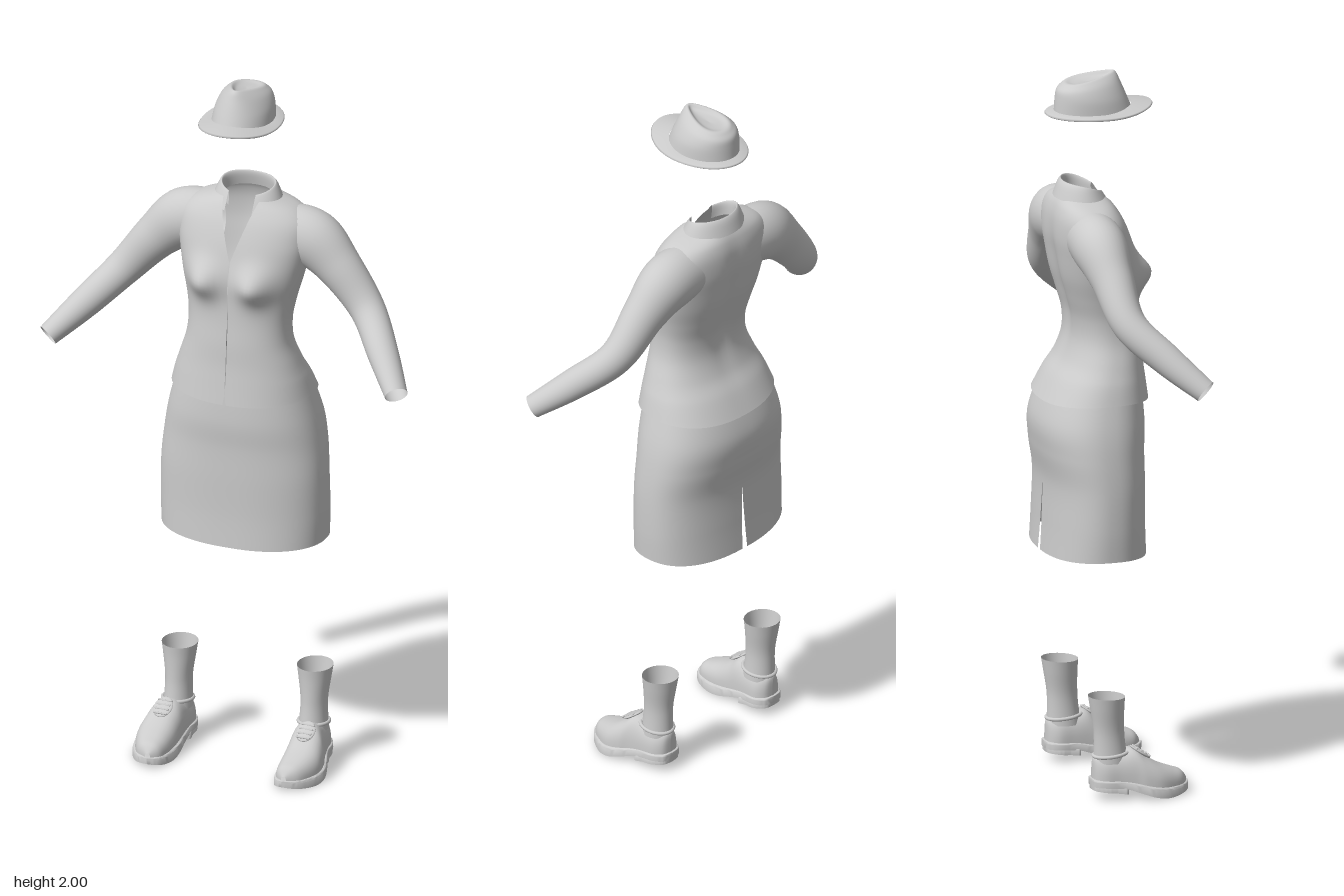
import * as THREE from 'three';
import { mergeVertices, toCreasedNormals } from 'three/addons/utils/BufferGeometryUtils.js';

const grey = new THREE.MeshStandardMaterial({ color: 0xcccccc, side: THREE.DoubleSide });
const spow = (v, p) => Math.sign(v) * Math.abs(v) ** p;
const bell = (d, w) => Math.exp(-((d / w) ** 2));

// Smoothly interpolates a table of key rows into n + 1 rows.
function spline(table, n) {
  const last = table.length - 1;
  return Array.from({ length: n + 1 }, (_, k) => {
    const f = (k / n) * last, i = Math.min(Math.floor(f), last - 1), t = f - i;
    const at = (m) => table[Math.max(0, Math.min(last, m))];
    return table[i].map((_, c) => {
      const a = at(i - 1)[c], b = at(i)[c], d = at(i + 1)[c], e = at(i + 2)[c];
      return b + 0.5 * t * (d - a + t * (2 * a - 5 * b + 4 * d - e + t * (3 * (b - d) + e - a)));
    });
  });
}

// Skins a list of equally long point rows.
function skin(rows) {
  const w = rows[0].length, pos = [], index = [];
  rows.forEach((r) => r.forEach((p) => pos.push(...p)));
  for (let i = 0; i < rows.length - 1; i++) {
    for (let j = 0; j < w - 1; j++) {
      const a = i * w + j, c = a + w;
      index.push(a, a + 1, c, a + 1, c + 1, c);
    }
  }
  let geo = new THREE.BufferGeometry();
  geo.setAttribute('position', new THREE.Float32BufferAttribute(pos, 3));
  geo.setIndex(index);
  geo = mergeVertices(geo, 1e-5);
  geo.computeVertexNormals();
  return geo;
}

function add(parent, name, geo) {
  const mesh = new THREE.Mesh(geo, grey);
  mesh.name = name;
  parent.add(mesh);
  return mesh;
}

// Level ring from key row [y, halfWidth, zFront, zBack], with an optional gap.
function ring([y, hw, zf, zb], { e = 2, gap = 0, start = 0, n = 64, warp = (p) => p } = {}) {
  const t0 = Math.asin(Math.min(0.9, gap / Math.max(hw, 1e-4)) ** (e / 2));
  return Array.from({ length: n + 1 }, (_, j) => {
    const t = start + t0 + (j / n) * (2 * Math.PI - 2 * t0);
    const x = hw * spow(Math.sin(t), 2 / e);
    const z = (zf + zb) / 2 + ((zf - zb) / 2) * spow(Math.cos(t), 2 / e);
    return warp([x, y, z], t);
  });
}

// Flat-bottomed upright sections along z, from rows [z, centreX, halfWidth, bottom, top].
function sections(table, e, n = 32) {
  return skin(spline(table, 40).map(([z, cx, hw, y0, y1]) =>
    Array.from({ length: n + 1 }, (_, j) => {
      const t = (j / n) * 2 * Math.PI;
      return [cx + Math.max(hw, 0) * spow(Math.cos(t), 2 / e),
        y0 + (y1 - y0) * Math.max(0, Math.sin(t)) ** (2 / e), z];
    })));
}

function makeHat(parent) {
  const g = new THREE.Group();
  g.name = 'hat';
  parent.add(g);
  // rows: y, halfWidth, zFront, zBack, front pinch, backward slope
  const brim = [[1.888, 0.083, 0.085, -0.128], [1.884, 0.107, 0.142, -0.152],
    [1.887, 0.111, 0.146, -0.156], [1.891, 0.108, 0.143, -0.153], [1.895, 0.084, 0.087, -0.13]];
  const lift = (p, t) => [p[0], p[1] + 0.016 * Math.max(0, Math.cos(t)) ** 2, p[2]];
  add(g, 'hatBrim', skin(brim.map((r) => ring(r, { warp: lift }))));
  const crown = [[1.893, 0.084, 0.087, -0.13, 0, 0], [1.93, 0.079, 0.072, -0.127, 0.05, 0],
    [1.968, 0.066, 0.055, -0.123, 0.15, 0.1], [1.99, 0.05, 0.045, -0.112, 0.3, 0.17],
    [1.997, 0.038, 0.035, -0.1, 0.4, 0.18], [1.985, 0.023, 0.018, -0.08, 0.4, 0.12],
    [1.978, 0, -0.04, -0.04, 0, 0.08]];
  add(g, 'hatCrown', skin(spline(crown, 36).map((r) => ring(r, {
    warp: ([x, y, z], t) => [x * (1 - r[4] * Math.cos(t)), y + r[5] * (z - 0.04), z],
  }))));
}

function makeJacket(parent) {
  const g = new THREE.Group();
  g.name = 'jacket';
  parent.add(g);

  // Body, open in a V at the neck and split down the front
  const body = [[1.09, 0.203, 0.118, -0.179], [1.15, 0.188, 0.11, -0.147], [1.2, 0.17, 0.104, -0.115],
    [1.26, 0.15, 0.1, -0.096], [1.32, 0.146, 0.094, -0.097], [1.38, 0.155, 0.09, -0.113],
    [1.44, 0.17, 0.087, -0.13], [1.5, 0.183, 0.078, -0.14], [1.55, 0.19, 0.065, -0.146],
    [1.6, 0.185, 0.044, -0.144], [1.635, 0.15, 0.022, -0.135], [1.658, 0.085, 0.003, -0.122]];
  const bust = ([x, y, z], t) => {
    const front = Math.max(0, Math.cos(t)) ** 0.5;
    const hem = 0.012 * Math.sin(t) ** 2 * Math.max(0, 1 - (y - 1.09) / 0.08);
    const spine = Math.cos(t) < 0 ? 0.012 * bell(x, 0.03) * bell(y - 1.42, 0.16) : 0;
    return [x, y + hem, z + spine + front * 0.045 * bell(Math.abs(x) - 0.078, 0.05) * bell(y - 1.44, 0.05)];
  };
  add(g, 'jacketBody', skin(spline(body, 66).map((r) => ring(r, {
    e: 2.3, n: 80, warp: bust,
    gap: 0.001 + 0.33 * Math.max(0, r[0] - 1.5) + 0.15 * Math.max(0, 1.115 - r[0]),
  }))));

  // Folded collar, dropping towards the front
  const collar = [[1.655, 0.072, 0.0, -0.112], [1.685, 0.072, -0.005, -0.106], [1.698, 0.077, -0.004, -0.108],
    [1.685, 0.086, 0.006, -0.118], [1.652, 0.1, 0.026, -0.13]];
  add(g, 'collar', skin(spline(collar, 16).map((r) => ring(r, {
    gap: 0.04, warp: ([x, y, z], t) => [x, y - 0.03 * ((1 + Math.cos(t)) / 2) ** 2, z],
  }))));

  // Sleeves: x, y, z, radius in the hanging plane, radius across
  const arm = [[0.1, 1.56, -0.062, 0.078, 0.07], [0.19, 1.546, -0.062, 0.083, 0.073],
    [0.27, 1.48, -0.054, 0.064, 0.058], [0.36, 1.377, -0.036, 0.05, 0.047],
    [0.44, 1.292, 0.045, 0.043, 0.043], [0.515, 1.215, 0.13, 0.031, 0.033]];
  const path = spline(arm, 40);
  const rows = path.map((r, i) => {
    const c = new THREE.Vector3(...r);
    const a = path[Math.max(0, i - 1)], b = path[Math.min(path.length - 1, i + 1)];
    const dir = new THREE.Vector3(b[0] - a[0], b[1] - a[1], b[2] - a[2]).normalize();
    const across = new THREE.Vector3(0, 0, 1).addScaledVector(dir, -dir.z).normalize();
    const up = new THREE.Vector3().crossVectors(across, dir);
    return Array.from({ length: 33 }, (_, j) => {
      const t = -(j / 32) * 2 * Math.PI;
      return c.clone().addScaledVector(up, r[3] * Math.cos(t)).addScaledVector(across, r[4] * Math.sin(t)).toArray();
    });
  });
  const sleeve = skin(rows);
  add(g, 'leftSleeve', sleeve);
  add(g, 'rightSleeve', sleeve).scale.x = -1;
}

function makeSkirt(parent) {
  // Tapered skirt with a slit up the back
  const table = [[0.66, 0.237, 0.104, -0.176], [0.75, 0.24, 0.1, -0.17], [0.86, 0.238, 0.1, -0.167],
    [0.95, 0.23, 0.1, -0.181], [1.03, 0.216, 0.104, -0.185], [1.13, 0.188, 0.098, -0.155]];
  add(parent, 'skirt', skin(spline(table, 50).map((r) => ring(r, {
    e: 2.35, n: 80, start: Math.PI, gap: 0.045 * Math.max(0, 0.86 - r[0]),
    warp: ([x, y, z], t) => [x, y + 0.01 * Math.sin(t) ** 2 * Math.max(0, 1 - (y - 0.66) / 0.1), z],
  }))));
}

function makeFoot(parent, side) {
  const g = new THREE.Group();
  g.name = side > 0 ? 'leftFoot' : 'rightFoot';
  g.scale.x = side;
  parent.add(g);

  // Sock
  const sock = [[0.1, 0.041, 0.01, -0.085], [0.16, 0.037, 0.002, -0.084], [0.2, 0.038, 0, -0.086],
    [0.25, 0.045, 0, -0.094], [0.285, 0.05, 0.002, -0.1]];
  add(g, 'sock', skin(spline(sock, 20).map((r) => ring(r, {
    n: 32, warp: ([x, y, z]) => [x + 0.2, y - 0.06 * Math.max(0, y - 0.25) * (z + 0.05) / 0.05, z],
  }))));

  // Shoe upper, sole and heel: z, centreX, halfWidth, bottom, top
  const upper = [[-0.09, 0.2, 0, 0.05, 0.1], [-0.084, 0.2, 0.026, 0.05, 0.116], [-0.06, 0.2, 0.043, 0.05, 0.123],
    [-0.02, 0.203, 0.046, 0.048, 0.128], [0.02, 0.208, 0.05, 0.044, 0.136], [0.05, 0.213, 0.055, 0.036, 0.115],
    [0.09, 0.215, 0.056, 0.028, 0.09], [0.13, 0.21, 0.047, 0.025, 0.073], [0.16, 0.205, 0.033, 0.025, 0.061],
    [0.177, 0.201, 0.008, 0.025, 0.04]];
  add(g, 'shoeUpper', sections(upper, 2.5));
  const sole = [[-0.096, 0.2, 0, 0.036, 0.056], [-0.09, 0.2, 0.03, 0.036, 0.056], [-0.06, 0.2, 0.048, 0.035, 0.055],
    [-0.01, 0.204, 0.051, 0.031, 0.052], [0.03, 0.211, 0.058, 0.019, 0.044], [0.07, 0.215, 0.064, 0.006, 0.035],
    [0.11, 0.213, 0.06, 0, 0.03], [0.15, 0.207, 0.045, 0.003, 0.029], [0.175, 0.202, 0.025, 0.008, 0.029],
    [0.186, 0.2, 0, 0.012, 0.029]];
  add(g, 'shoeSole', toCreasedNormals(sections(sole, 9), 0.7));
  const heel = [[-0.094, 0.2, 0, 0.026, 0.042], [-0.088, 0.2, 0.028, 0.025, 0.042], [-0.06, 0.2, 0.046, 0.022, 0.042],
    [-0.03, 0.202, 0.048, 0.019, 0.04], [-0.002, 0.204, 0.049, 0.016, 0.038], [-0.001, 0.204, 0, 0.016, 0.038]];
  add(g, 'shoeHeel', toCreasedNormals(sections(heel, 9), 0.7));

  // Padded ankle opening, tongue and laces
  const opening = add(g, 'shoeOpening', new THREE.TorusGeometry(0.041, 0.005, 10, 32));
  opening.rotation.x = Math.PI / 2 - 0.1;
  opening.scale.y = 1.17;
  opening.position.set(0.201, 0.122, -0.037);
  const tongue = add(g, 'shoeTongue', new THREE.SphereGeometry(1, 20, 12));
  tongue.scale.set(0.027, 0.006, 0.034);
  tongue.rotation.x = 0.6;
  tongue.position.set(0.211, 0.122, 0.043);
  for (let i = 0; i < 4; i++) {
    const lace = add(g, 'lace', new THREE.CapsuleGeometry(0.003, 0.036, 4, 8));
    lace.rotation.z = Math.PI / 2;
    lace.position.set(0.211, 0.136 - 0.0078 * i, 0.029 + 0.012 * i);
  }
}

export function createModel() {
  const model = new THREE.Group();
  model.name = 'outfit';
  makeHat(model);
  makeJacket(model);
  makeSkirt(model);
  makeFoot(model, 1);
  makeFoot(model, -1);
  return model;
}
